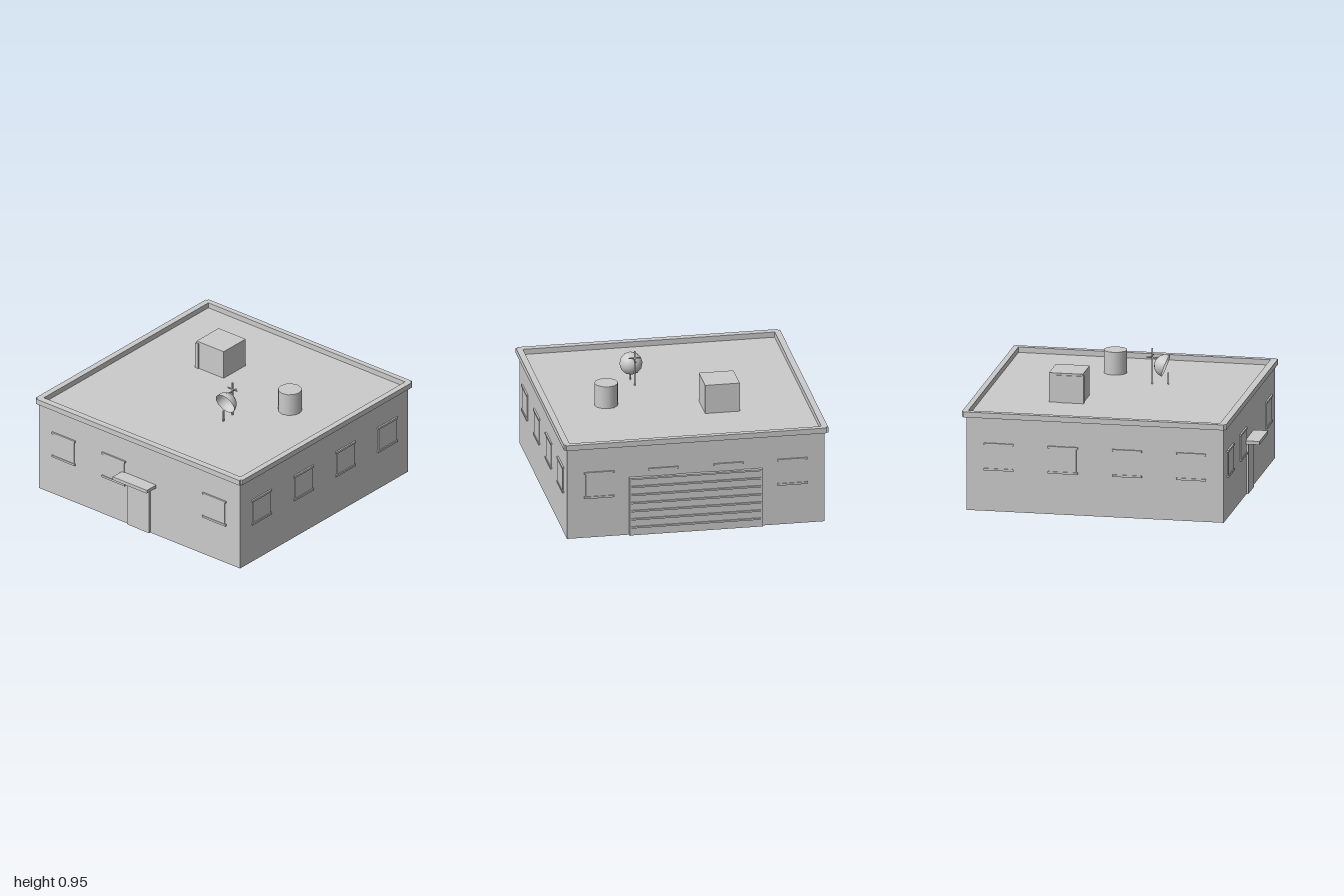
import * as THREE from 'three';

const material = new THREE.MeshStandardMaterial({ color: 0xcccccc });
const openMaterial = new THREE.MeshStandardMaterial({ color: 0xcccccc, side: THREE.DoubleSide });

// Box given by its lowest and highest corners
function box(name, [x0, y0, z0], [x1, y1, z1]) {
  const mesh = new THREE.Mesh(new THREE.BoxGeometry(x1 - x0, y1 - y0, z1 - z0), material);
  mesh.name = name;
  mesh.position.set((x0 + x1) / 2, (y0 + y1) / 2, (z0 + z1) / 2);
  return mesh;
}

// Window facing +z: a thin pane between a lintel and a sill
function makeWindow(x, z, angle) {
  const group = new THREE.Group();
  group.name = 'window';
  group.add(
    box('pane', [-0.097, 0.31, -0.01], [0.097, 0.49, 0.006]),
    box('lintel', [-0.108, 0.485, -0.01], [0.108, 0.5, 0.012]),
    box('sill', [-0.108, 0.3, -0.01], [0.108, 0.315, 0.012])
  );
  group.position.set(x, 0, z);
  group.rotation.y = angle;
  return group;
}

// Roof edge with notched corners and an open middle
function makeParapet() {
  const x = 0.955, back = 1.0, front = -0.915, n = 0.015;
  const shape = new THREE.Shape([
    [-x + n, front], [x - n, front], [x - n, front + n], [x, front + n],
    [x, back - n], [x - n, back - n], [x - n, back], [-x + n, back],
    [-x + n, back - n], [-x, back - n], [-x, front + n], [-x + n, front + n]
  ].map(([a, b]) => new THREE.Vector2(a, b)));
  shape.holes.push(new THREE.Path([
    [-0.91, -0.865], [-0.91, 0.96], [0.91, 0.96], [0.91, -0.865]
  ].map(([a, b]) => new THREE.Vector2(a, b))));
  const geometry = new THREE.ExtrudeGeometry(shape, { depth: 0.04, bevelEnabled: false });
  geometry.rotateX(-Math.PI / 2);
  const mesh = new THREE.Mesh(geometry, material);
  mesh.name = 'parapet';
  mesh.position.y = 0.685;
  return mesh;
}

// Roller door on the back wall: panel, frame and horizontal slats
function makeGarageDoor() {
  const group = new THREE.Group();
  group.name = 'garageDoor';
  group.add(box('doorPanel', [-0.475, 0, -0.988], [0.475, 0.44, -0.96]));
  for (const s of [-1, 1]) {
    group.add(box('doorJamb', [s * 0.475 - 0.006, 0, -0.993], [s * 0.475 + 0.006, 0.44, -0.96]));
  }
  for (let i = 1; i <= 7; i++) {
    const y = i * 0.062;
    group.add(box('slatRib', [-0.47, y - 0.006, -0.998], [0.47, y + 0.006, -0.98]));
  }
  return group;
}

// Satellite dish: open bowl tilted downward on a short post
function makeDish() {
  const group = new THREE.Group();
  group.name = 'satelliteDish';
  const geometry = new THREE.SphereGeometry(0.083, 12, 6, 0, Math.PI * 2, 0, Math.PI / 2);
  geometry.rotateX(-Math.PI / 2);
  const bowl = new THREE.Mesh(geometry, openMaterial);
  bowl.name = 'dishBowl';
  bowl.position.set(0.245, 0.818, 0.24);
  bowl.rotation.x = 0.34;
  group.add(bowl, box('dishPost', [0.24, 0.68, 0.254], [0.25, 0.77, 0.264]));
  return group;
}

// Mast with two crossing arms
function makeAntenna() {
  const group = new THREE.Group();
  group.name = 'antenna';
  group.add(
    box('mast', [0.231, 0.68, 0.141], [0.239, 0.947, 0.149]),
    box('sideArm', [0.19, 0.889, 0.141], [0.278, 0.897, 0.149]),
    box('frontArm', [0.231, 0.873, 0.103], [0.239, 0.881, 0.192])
  );
  return group;
}

export function createModel() {
  const model = new THREE.Group();
  model.name = 'building';

  // Shell
  model.add(box('walls', [-0.93, 0, -0.97], [0.93, 0.685, 0.895]), makeParapet());

  // Entrance
  model.add(
    box('frontDoor', [-0.1, 0, 0.88], [0.1, 0.38, 0.908]),
    box('canopy', [-0.16, 0.38, 0.88], [0.155, 0.405, 1.0])
  );

  // Windows on all four walls
  for (const x of [-0.698, -0.235, 0.695]) model.add(makeWindow(x, 0.895, 0));
  for (const x of [-0.698, -0.235, 0.235, 0.698]) model.add(makeWindow(x, -0.97, Math.PI));
  for (const z of [0.66, 0.195, -0.27, -0.735]) {
    for (const s of [-1, 1]) model.add(makeWindow(s * 0.93, z, s * Math.PI / 2));
  }

  model.add(makeGarageDoor());

  // Roof equipment
  model.add(
    box('ventUnit', [-0.41, 0.68, -0.475], [-0.16, 0.9, -0.23]),
    box('ventPanel', [-0.417, 0.68, -0.42], [-0.39, 0.885, -0.223])
  );
  const tank = new THREE.Mesh(new THREE.CylinderGeometry(0.085, 0.085, 0.17, 12), material);
  tank.name = 'tank';
  tank.position.set(0.5, 0.767, -0.175);
  model.add(tank, makeDish(), makeAntenna());

  return model;
}
